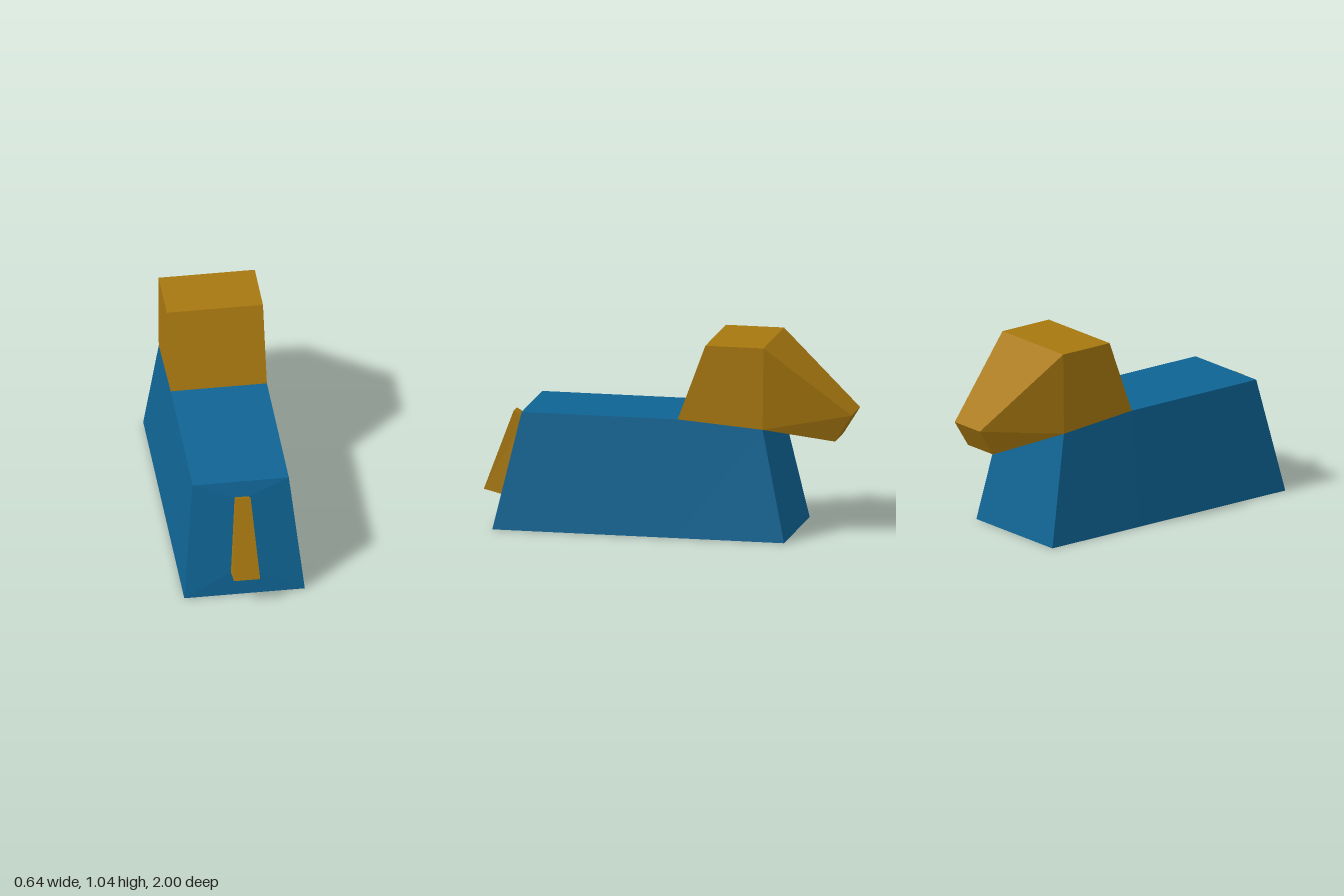
import * as THREE from 'three';

// Each section is [lower half width, y, z, upper half width, y, z], ordered front to back.
function loft(sections) {
  const rings = sections.map(([lw, ly, lz, uw, uy, uz]) => [
    [-lw, ly, lz], [lw, ly, lz], [uw, uy, uz], [-uw, uy, uz],
  ]);
  const pos = [];
  const quad = (a, b, c, d) => pos.push(...a, ...b, ...c, ...a, ...c, ...d);
  quad(...rings[0]);
  for (let k = 0; k + 1 < rings.length; k++) {
    const A = rings[k], B = rings[k + 1];
    for (let i = 0; i < 4; i++) {
      const j = (i + 1) % 4;
      // the left and right walls use mirrored diagonals
      if (i === 3) quad(B[i], B[j], A[j], A[i]);
      else quad(A[i], B[i], B[j], A[j]);
    }
  }
  quad(...[...rings[rings.length - 1]].reverse());
  const geo = new THREE.BufferGeometry();
  geo.setAttribute('position', new THREE.Float32BufferAttribute(pos, 3));
  geo.computeVertexNormals();
  return geo;
}

export function createModel() {
  const blue = new THREE.MeshStandardMaterial({ color: 0x0f6494 });
  blue.name = 'blue';
  const ochre = new THREE.MeshStandardMaterial({ color: 0xa87810 });
  ochre.name = 'ochre';

  const group = new THREE.Group();
  const add = (name, material, sections) => {
    const mesh = new THREE.Mesh(loft(sections), material);
    mesh.name = name;
    group.add(mesh);
  };

  // Tapered body, its front wall swelling slightly to meet the tail
  add('body', blue, [
    [0.07, 0.13, 0.88, 0.037, 0.55, 0.783],
    [0.322, 0, 0.9, 0.257, 0.63, 0.755],
    [0.322, 0, -0.09, 0.257, 0.63, -0.09],
    [0.322, 0, -0.68, 0.257, 0.595, -0.55],
  ]);

  // Head block narrowing into a drooping snout
  add('head', ochre, [
    [0.257, 0.63, -0.09, 0.257, 1.037, -0.24],
    [0.257, 0.595, -0.55, 0.257, 1.037, -0.555],
    [0.106, 0.515, -0.91, 0.106, 0.66, -1],
  ]);

  // Hanging tail wedge
  add('tail', ochre, [
    [0.07, 0.16, 1, 0.04, 0.585, 0.845],
    [0.07, 0.13, 0.88, 0.037, 0.55, 0.783],
  ]);

  return group;
}
